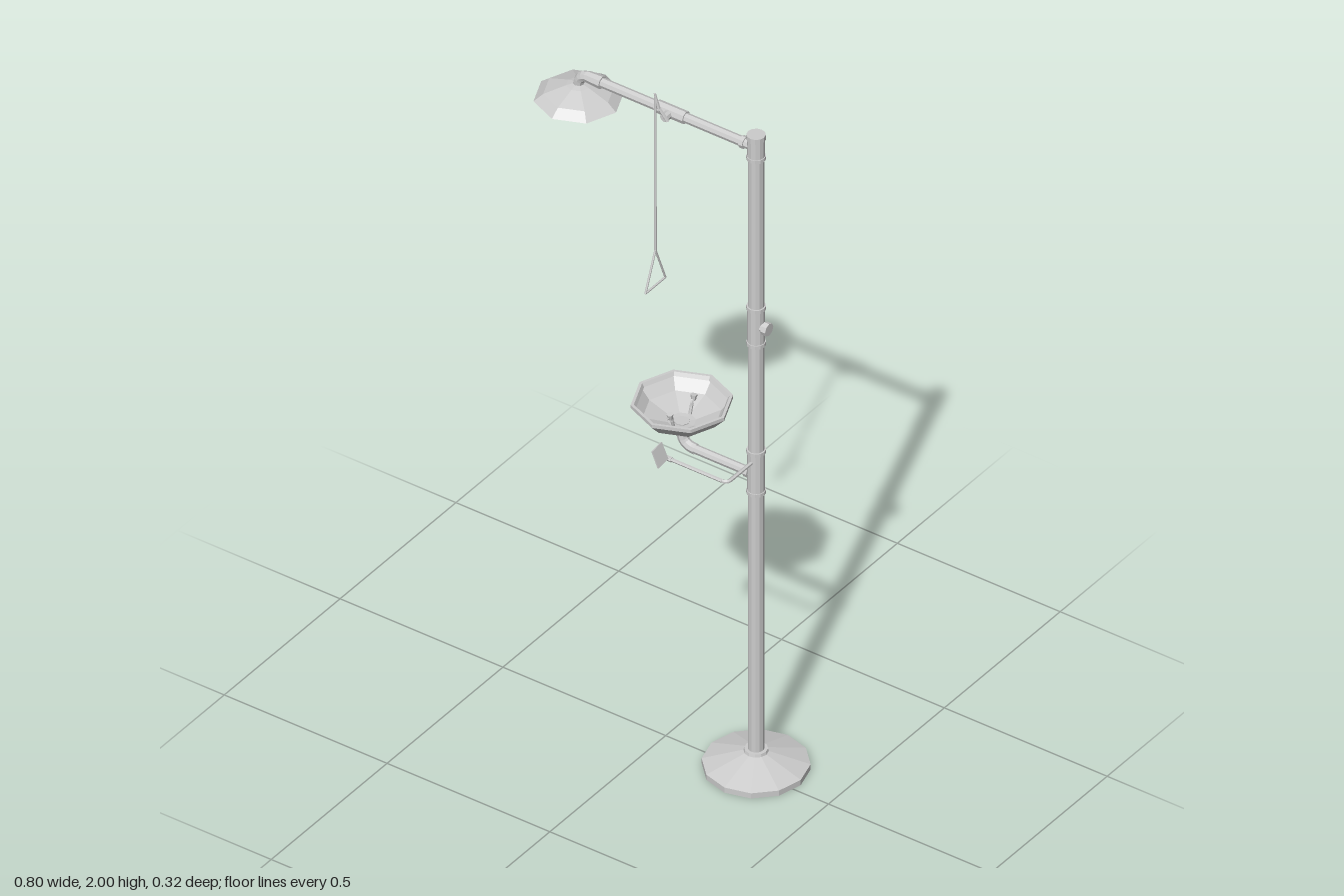
import * as THREE from 'three';

const POLE_X = 0.26, Z = -0.025, HEAD_X = -0.285, BOWL_X = 0.032;
const V = (x, y, z) => new THREE.Vector3(x, y, z);

export function createModel() {
  const model = new THREE.Group();
  const grey = new THREE.MeshStandardMaterial({ color: 0xcccccc, flatShading: true });
  const thin = grey.clone();
  thin.side = THREE.DoubleSide;

  const add = (name, geometry, material = grey) => {
    const mesh = new THREE.Mesh(geometry, material);
    mesh.name = name;
    model.add(mesh);
    return mesh;
  };

  // Straight rod between two points, optionally tapered
  const rod = (name, a, b, r0, r1 = r0, sides = 8) => {
    const mesh = add(name, new THREE.CylinderGeometry(r1, r0, a.distanceTo(b), sides));
    mesh.position.copy(a).lerp(b, 0.5);
    mesh.quaternion.setFromUnitVectors(V(0, 1, 0), b.clone().sub(a).normalize());
    return mesh;
  };

  // Curved pipe around a corner
  const bend = (name, a, corner, b, r, sides = 8) =>
    add(name, new THREE.TubeGeometry(new THREE.QuadraticBezierCurve3(a, corner, b), 6, r, sides), thin);

  // Turned part from [radius, height] pairs
  const turned = (name, x, sides, profile, material = thin) => {
    const points = profile.map(([r, y]) => new THREE.Vector2(r, y));
    const mesh = add(name, new THREE.LatheGeometry(points, sides), material);
    mesh.position.set(x, 0, Z);
    return mesh;
  };

  // Floor flange, open underneath
  turned('baseFlange', POLE_X, 12, [[0.137, 0], [0.137, 0.016], [0.032, 0.05], [0.03, 0.058], [0.02, 0.058]]);

  // Upright pole with its sleeves and collars
  const upright = (name, y0, y1, r) => rod(name, V(POLE_X, y0, Z), V(POLE_X, y1, Z), r, r, 12);
  upright('pole', 0.005, 1.95, 0.021);
  upright('poleCap', 1.945, 1.96, 0.0245);
  for (const [y0, y1] of [[0.86, 0.98], [1.32, 1.425], [1.89, 1.95]]) upright('poleSleeve', y0, y1, 0.0225);
  for (const y of [0.855, 0.98, 1.315, 1.425, 1.89]) upright('poleCollar', y - 0.005, y + 0.005, 0.025);

  // Capped inlet on the side of the pole
  rod('inletNeck', V(0.27, 1.37, Z), V(0.29, 1.37, Z), 0.014);
  rod('inletCap', V(0.285, 1.37, Z), V(0.3, 1.37, Z), 0.018);

  // Overhead arm and elbow to the shower head
  const armY = 1.92;
  rod('showerArm', V(POLE_X, armY, Z), V(-0.25, armY, Z), 0.0135);
  rod('armCollar', V(0.228, armY, Z), V(0.216, armY, Z), 0.017);
  rod('elbowSocket', V(-0.212, armY, Z), V(-0.258, armY, Z), 0.018, 0.0155);
  bend('showerElbow', V(-0.25, armY, Z), V(HEAD_X, armY, Z), V(HEAD_X, 1.882, Z), 0.0145);

  // Shower head, an open eight sided hood
  turned('showerHead', HEAD_X, 8, [[0.115, 1.845], [0.09, 1.865], [0.032, 1.885], [0.001, 1.892]]);

  // Shower valve, lever and pull rod with triangular handle
  rod('valveBody', V(-0.043, armY, Z), V(0.045, armY, Z), 0.0175);
  rod('valveStem', V(0, armY, Z), V(0, armY, 0.008), 0.012);
  rod('valveLeverHub', V(0.012, 1.915, 0.008), V(-0.012, 1.955, 0.016), 0.005, 0.004, 6);
  rod('valveLever', V(-0.01, 1.95, 0.016), V(-0.019, 1.995, 0.02), 0.005, 0.003, 6);
  const top = V(-0.018, 1.51, 0.019);
  const frontCorner = V(-0.018, 1.4, 0.062), backCorner = V(-0.018, 1.4, -0.024);
  rod('pullRod', V(-0.018, 1.985, 0.02), top, 0.0035, 0.0035, 6);
  for (const [a, b] of [[top, frontCorner], [frontCorner, backCorner], [backCorner, top]])
    rod('pullHandle', a, b, 0.003, 0.003, 6);

  // Eyewash bowl with a thin rim
  turned('eyewashBowl', BOWL_X, 8, [[0.001, 0.972], [0.036, 0.975], [0.1, 0.997], [0.13, 1.03], [0.13, 1.04], [0.122, 1.04], [0.116, 1.03]]);

  // Two eyewash nozzles curving outward
  for (const side of [-1, 1]) {
    const at = (offset, y) => V(BOWL_X, y, Z + side * offset);
    rod('nozzleStem', at(0.035, 0.975), at(0.042, 1.0), 0.0045, 0.0045, 6);
    bend('nozzleNeck', at(0.042, 1.0), at(0.043, 1.012), at(0.05, 1.015), 0.0045, 6);
    rod('nozzleHead', at(0.05, 1.01), at(0.052, 1.026), 0.006, 0.009, 6);
    rod('nozzleTip', at(0.05, 1.013), at(0.065, 1.018), 0.004, 0.003, 6);
  }

  // Bowl support pipe
  const pipeY = 0.905;
  rod('bowlPipe', V(POLE_X, pipeY, Z), V(0.07, pipeY, Z), 0.0125);
  bend('bowlElbow', V(0.075, pipeY, Z), V(BOWL_X, pipeY, Z), V(BOWL_X, 0.945, Z), 0.0145);
  rod('bowlNeck', V(BOWL_X, 0.94, Z), V(BOWL_X, 0.976, Z), 0.013, 0.02);
  rod('bowlPipeCollar', V(0.24, pipeY, Z), V(0.228, pipeY, Z), 0.016);

  // Hand lever: bent rod from the pole and a tilted paddle
  const rodY = 0.953, rodZ = 0.1;
  rod('leverRodSide', V(POLE_X, rodY, Z), V(POLE_X, rodY, rodZ - 0.015), 0.005, 0.005, 6);
  bend('leverRodBend', V(POLE_X, rodY, rodZ - 0.015), V(POLE_X, rodY, rodZ), V(POLE_X - 0.015, rodY, rodZ), 0.005, 6);
  rod('leverRodFront', V(POLE_X - 0.015, rodY, rodZ), V(0.05, rodY, rodZ), 0.005, 0.005, 6);
  rod('leverSleeve', V(0.09, rodY, rodZ), V(0.062, rodY, rodZ), 0.007, 0.007, 6);
  rod('paddleArm', V(0.068, rodY, rodZ), V(0.074, 0.968, 0.122), 0.004, 0.004, 6);
  const plate = new THREE.Shape([[0.116, 0.962], [0.16, 0.958], [0.163, 1.008], [0.12, 1.012]]
    .map(([z, y]) => new THREE.Vector2(-(z - 0.14), y - 0.985)));
  const paddle = add('leverPaddle', new THREE.ExtrudeGeometry(plate, { depth: 0.004, bevelEnabled: false }));
  paddle.rotation.set(0, Math.PI / 2, 0.35, 'ZYX');
  paddle.position.set(0.078, 0.985, 0.138);

  return model;
}
